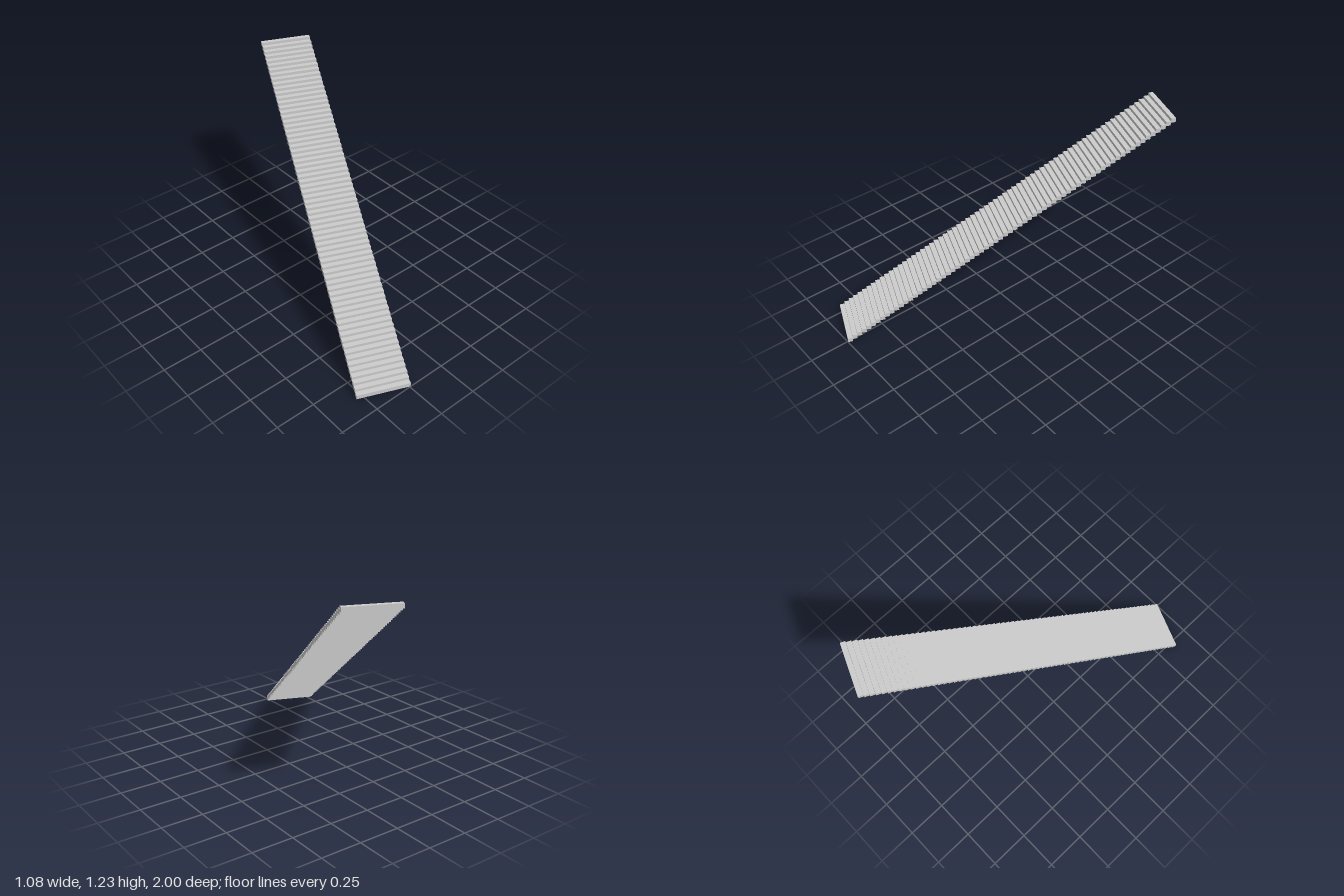
import * as THREE from 'three';

const STEPS = 68;
const WIDTH = 0.322;
const RUN = 2.032 / STEPS;      // depth of one step
const THICKNESS = 0.0276;       // each block overlaps the next in height
const HEIGHT = 1.23;
const RISE = (HEIGHT - THICKNESS) / (STEPS - 1);

export function createModel() {
  const model = new THREE.Group();
  model.name = 'staircase';

  const material = new THREE.MeshStandardMaterial({ color: 0xcccccc, flatShading: true });
  const geometry = new THREE.BoxGeometry(WIDTH, THICKNESS, RUN);

  // Straight flight climbing towards the back
  const flight = new THREE.Group();
  flight.name = 'flight';
  for (let i = 0; i < STEPS; i++) {
    const step = new THREE.Mesh(geometry, material);
    step.name = `step${i + 1}`;
    step.position.set(0, THICKNESS / 2 + i * RISE, ((STEPS - 1) / 2 - i) * RUN);
    flight.add(step);
  }

  // The whole flight is turned towards its left
  flight.rotation.y = THREE.MathUtils.degToRad(-22.7);
  model.add(flight);
  return model;
}
